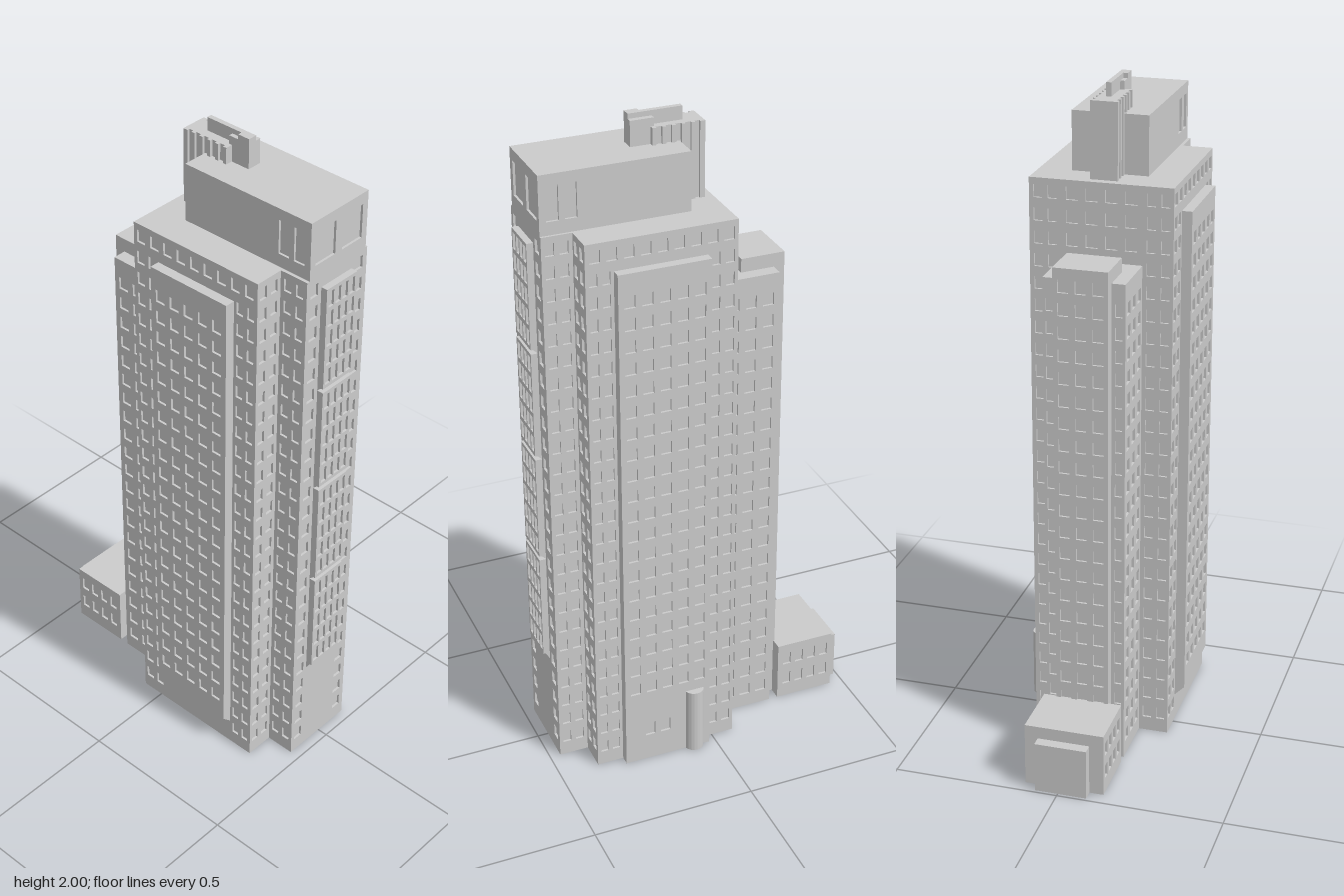
import * as THREE from 'three';

const FLOOR = 0.068; // storey height
const BASE = 0.03;   // first window row starts here
const D = 0.007;     // window recess

const mat = new THREE.MeshStandardMaterial({ color: 0xcccccc, flatShading: true });

function add(parent, name, geo) {
  const m = new THREE.Mesh(geo, mat);
  m.name = name;
  parent.add(m);
  return m;
}

function box(parent, name, x0, x1, y0, y1, z0, z1) {
  const g = new THREE.BoxGeometry(x1 - x0, y1 - y0, z1 - z0);
  g.translate((x0 + x1) / 2, (y0 + y1) / 2, (z0 + z1) / 2);
  return add(parent, name, g);
}

// Window rectangles [u0, u1, v0, v1] spread evenly over an area
function panes(u0, u1, cols, v0, v1, rows, fw = 0.62, fh = 0.56) {
  const out = [], du = (u1 - u0) / cols, dv = (v1 - v0) / rows;
  for (let i = 0; i < cols; i++) for (let j = 0; j < rows; j++) {
    const u = u0 + (i + 0.5) * du, v = v0 + (j + 0.5) * dv;
    out.push([u - du * fw / 2, u + du * fw / 2, v - dv * fh / 2, v + dv * fh / 2]);
  }
  return out;
}

// Same, using storey numbers k0 up to k1
const storeys = (u0, u1, cols, k0, k1) =>
  panes(u0, u1, cols, BASE + k0 * FLOOR, BASE + k1 * FLOOR, k1 - k0);

// Thin wall pierced by windows
function wall(u0, u1, v0, v1, wins) {
  const s = new THREE.Shape();
  s.moveTo(u0, v0).lineTo(u1, v0).lineTo(u1, v1).lineTo(u0, v1).closePath();
  for (const [a, b, c, d] of wins) {
    const h = new THREE.Path();
    h.moveTo(a, c).lineTo(a, d).lineTo(b, d).lineTo(b, c).closePath();
    s.holes.push(h);
  }
  return new THREE.ExtrudeGeometry(s, { depth: D, bevelEnabled: false });
}

// Block with a core and pierced walls on the sides that have windows
function block(parent, name, [x0, x1, y0, y1, z0, z1], sides = {}) {
  const g = new THREE.Group();
  g.name = name;
  parent.add(g);
  const { front, back, right, left } = sides;
  box(g, 'core', x0 + (left ? D : 0), x1 - (right ? D : 0), y0, y1,
    z0 + (back ? D : 0), z1 - (front ? D : 0));
  if (front) add(g, 'frontWall', wall(x0, x1, y0, y1, front).translate(0, 0, z1 - D));
  if (back) add(g, 'backWall', wall(x0, x1, y0, y1, back).translate(0, 0, z0));
  if (right) add(g, 'rightWall', wall(z0, z1, y0, y1, right).rotateY(-Math.PI / 2).translate(x1, 0, 0));
  if (left) add(g, 'leftWall', wall(z0, z1, y0, y1, left).rotateY(-Math.PI / 2).translate(x0 + D, 0, 0));
  return g;
}

// Prism from a profile of (x, y) points, extruded along z
function prism(points, depth) {
  const s = new THREE.Shape(points.map(p => new THREE.Vector2(...p)));
  return new THREE.ExtrudeGeometry(s, { depth, bevelEnabled: false });
}

export function createModel() {
  const model = new THREE.Group();
  model.name = 'apartmentTower';

  // Main tower: window columns either side of the bays and a row over them
  const face = [
    ...storeys(-0.068, 0.018, 2, 0, 24), ...storeys(0.297, 0.373, 2, 0, 24),
    ...storeys(-0.068, 0.373, 9, 24, 25),
  ];
  const returns = [...storeys(-0.198, -0.114, 2, 0, 25), ...storeys(0.134, 0.218, 2, 0, 25)];
  block(model, 'mainTower', [-0.07, 0.377, 0, 1.735, -0.203, 0.22], {
    front: face, back: face, right: returns,
    left: [...returns, ...storeys(-0.105, 0.125, 4, 22, 25)],
  });

  // Wing on the +x end
  const wingFace = storeys(0.381, 0.463, 2, 0, 25);
  block(model, 'endWing', [0.36, 0.467, 0, 1.735, -0.113, 0.13], {
    front: wingFace, back: wingFace,
    right: [...storeys(-0.106, -0.054, 1, 0, 25), ...storeys(0.076, 0.125, 1, 0, 25)],
  });

  // Glazed bay on the end wing: four stacked sections with sloping undersides
  const endBay = new THREE.Group();
  endBay.name = 'endBay';
  model.add(endBay);
  const levels = [0.32, 0.68, 1.02, 1.36, 1.695];
  for (let i = 0; i < 4; i++) {
    const y0 = levels[i], y1 = levels[i + 1], lip = i ? 0.013 : 0.024;
    add(endBay, 'baySection', prism(
      [[0.46, y0], [0.466, y0], [0.48, y0 + lip], [0.48, y1], [0.46, y1]], 0.122
    ).translate(0, 0, -0.05));
    add(endBay, 'bayWindows', wall(-0.05, 0.072, y0 + lip, y1,
      panes(-0.046, 0.068, 4, y0 + lip + 0.004, y1 - 0.004, 5, 0.76, 0.78)
    ).rotateY(-Math.PI / 2).translate(0.487, 0, 0));
  }

  // Front bay with a sloping underside
  block(model, 'frontBay', [0.02, 0.295, 0.115, 1.645, 0.21, 0.25], {
    front: storeys(0.028, 0.287, 5, 2, 23),
  });
  add(model, 'frontBayUnderside', prism(
    [[-0.21, 0.115], [-0.21, 0.085], [-0.22, 0.085], [-0.25, 0.115]], 0.275
  ).rotateY(Math.PI / 2).translate(0.02, 0, 0));

  // Back bay down to the ground, with a rounded stair shaft
  block(model, 'backBay', [0.02, 0.295, 0, 1.645, -0.232, -0.19], {
    back: [...storeys(0.028, 0.287, 5, 3, 23), ...panes(0.14, 0.24, 2, 0.07, 0.15, 1)],
  });
  add(model, 'stairShaft', new THREE.CylinderGeometry(0.03, 0.03, 0.215, 20)
    .translate(0.07, 0.1075, -0.225));

  // Lower wing on the -x end
  const lowWing = [...storeys(-0.236, -0.074, 3, 0, 21)];
  const lowEnd = [...storeys(-0.108, -0.074, 1, 0, 21), ...storeys(0.094, 0.128, 1, 0, 21)];
  block(model, 'lowerWing', [-0.242, -0.06, 0, 1.503, -0.11, 0.13], {
    front: lowWing, back: lowWing, left: lowEnd,
  });
  block(model, 'lowerWingEnd', [-0.275, -0.14, 0, 1.545, -0.07, 0.09], {
    left: storeys(-0.066, 0.086, 3, 2, 22),
  });

  // Low annex
  const annexFace = panes(-0.45, -0.28, 4, 0.03, 0.18, 2);
  block(model, 'annex', [-0.457, -0.27, 0, 0.195, -0.11, 0.13], { front: annexFace, back: annexFace });
  box(model, 'annexPorch', -0.49, -0.45, 0, 0.157, -0.07, 0.087);

  // Penthouse with tall windows near the end
  const tall = panes(0.35, 0.455, 2, 1.765, 1.885, 1, 0.68, 0.85);
  block(model, 'penthouse', [0.028, 0.467, 1.73, 1.91, -0.106, 0.12], {
    front: tall, back: tall, right: panes(-0.1, 0.114, 2, 1.765, 1.885, 1, 0.74, 0.85),
  });

  // Ribbed rooftop shaft
  const shaft = new THREE.Group();
  shaft.name = 'rooftopShaft';
  model.add(shaft);
  box(shaft, 'shaftCore', -0.037, 0.11, 1.73, 1.96, -0.022, 0.042);
  for (let i = 0; i < 4; i++) {
    const z = -0.03 + i * 0.0227;
    box(shaft, 'shaftRib', -0.045, -0.03, 1.73, 1.96, z, z + 0.012);
  }
  for (let i = 0; i < 6; i++) {
    const x = -0.045 + i * 0.0286;
    box(shaft, 'shaftRib', x, x + 0.012, 1.73, 1.96, -0.03, 0.05);
  }

  // Roof parapet and vents
  box(model, 'roofFin', 0.01, 0.17, 1.9, 2, 0, 0.015);
  box(model, 'roofVent', 0.132, 0.17, 1.9, 2, 0.0, 0.028);
  box(model, 'roofVentFront', 0.1, 0.14, 1.9, 1.985, 0.0, 0.028);
  box(model, 'roofVentBack', 0.1, 0.17, 1.9, 1.985, -0.016, 0.002);

  return model;
}
